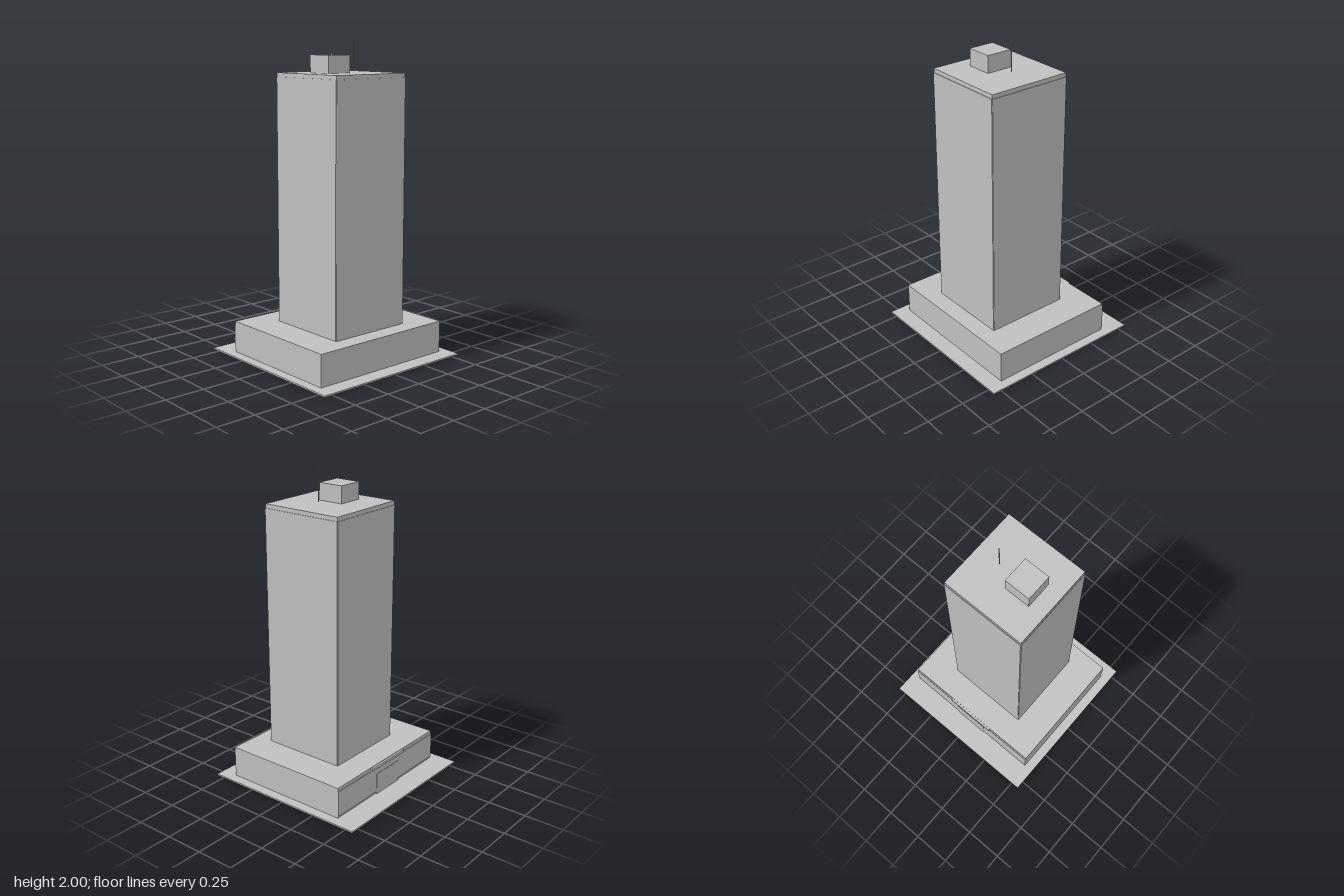
import * as THREE from 'three';

export function createModel() {
  const model = new THREE.Group();
  model.name = 'officeTower';
  const concrete = new THREE.MeshStandardMaterial({ color: 0xc0c0c0 });
  concrete.name = 'concreteGrey';

  // Box given by its lower and upper limits on each axis
  function block(name, [x0, x1], [y0, y1], [z0, z1]) {
    const mesh = new THREE.Mesh(new THREE.BoxGeometry(x1 - x0, y1 - y0, z1 - z0), concrete);
    mesh.position.set((x0 + x1) / 2, (y0 + y1) / 2, (z0 + z1) / 2);
    mesh.name = name;
    model.add(mesh);
    return mesh;
  }

  // Ground slab and podium
  block('groundSlab', [-0.556, 0.556], [0, 0.01], [-0.556, 0.556]);
  block('podium', [-0.493, 0.493], [0.01, 0.212], [-0.398, 0.45]);

  // Entrance side: glazing strip, door and canopy
  block('podiumGlazing', [-0.493, 0.493], [0.025, 0.19], [-0.405, -0.398]);
  block('entranceDoor', [-0.115, 0.115], [0.01, 0.15], [-0.407, -0.398]);
  block('entranceCanopy', [-0.168, 0.168], [0.19, 0.208], [-0.412, -0.398]);

  // Tower core with a thin facade panel on every side, stopping below the roof
  const half = 0.275, skin = 0.004, cz = 0.055;
  block('towerCore', [-half, half], [0.212, 1.783], [cz - half, cz + half]);
  const panelY = [0.212, 1.757];
  for (const s of [-1, 1]) {
    const span = [half, half + skin].map((v) => v * s).sort((a, b) => a - b);
    block('sideFacade', span, panelY, [cz - half, cz + half]);
    block('mainFacade', [-half, half], panelY, span.map((v) => v + cz));
  }

  // Rooftop plant room and mast
  block('plantRoom', [-0.17, -0.002], [1.783, 1.892], [-0.03, 0.14]);
  const mast = new THREE.Mesh(new THREE.CylinderGeometry(0.003, 0.003, 0.195, 8), concrete);
  mast.name = 'mast';
  mast.position.set(0.111, 1.9025, cz);
  model.add(mast);

  return model;
}
